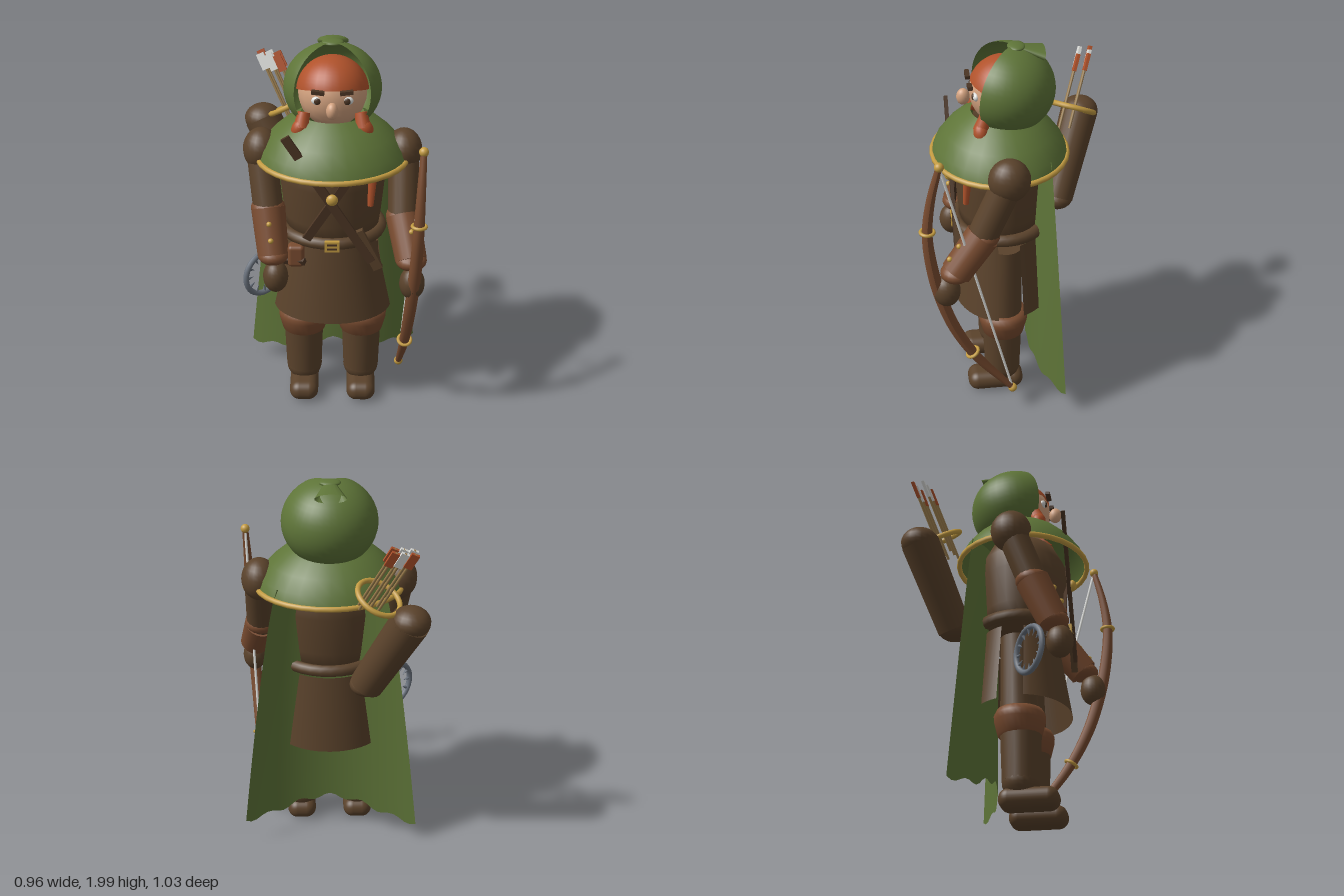
import * as THREE from 'three';
import { RoundedBoxGeometry } from 'three/addons/geometries/RoundedBoxGeometry.js';

const mat = (name, color, double) => {
  const m = new THREE.MeshStandardMaterial({ color });
  m.name = name;
  if (double) m.side = THREE.DoubleSide;
  return m;
};
const green = mat('green cloth', 0x5e7438, true);
const brown = mat('dark brown hide', 0x5a422b, true);
const leather = mat('leather', 0x7a4c30);
const strapMat = mat('dark strap', 0x4b3524);
const gold = mat('gold', 0xc49c42);
const ginger = mat('ginger hair', 0xb0522b, true);
const skin = mat('skin', 0xd3a27f);
const steel = mat('steel', 0x6b737e);
const white = mat('white', 0xdedfdc);
const wood = mat('pale wood', 0x9a7c4c);

const V = (a) => new THREE.Vector3(...a);

export function createModel() {
  const model = new THREE.Group();
  const add = (name, geo, m, pos = [0, 0, 0], rot = [0, 0, 0], scale = [1, 1, 1]) => {
    const mesh = new THREE.Mesh(geo, m);
    mesh.name = name;
    mesh.position.set(...pos);
    mesh.rotation.set(...rot);
    mesh.scale.set(...scale);
    model.add(mesh);
    return mesh;
  };
  const ball = (name, m, pos, r, rot) =>
    add(name, new THREE.SphereGeometry(1, 20, 14), m, pos, rot, r);
  // Turns a mesh so that its y axis runs from a to b
  const aim = (mesh, a, b) => {
    mesh.position.copy(V(a)).lerp(V(b), 0.5);
    mesh.quaternion.setFromUnitVectors(new THREE.Vector3(0, 1, 0), V(b).sub(V(a)).normalize());
    return mesh;
  };
  const len = (a, b) => V(a).distanceTo(V(b));
  const rod = (name, m, a, b, ra, rb = ra, sides = 18) =>
    aim(add(name, new THREE.CylinderGeometry(rb, ra, len(a, b), sides), m), a, b);
  const capsule = (name, m, a, b, r) =>
    aim(add(name, new THREE.CapsuleGeometry(r, len(a, b), 6, 18), m), a, b);
  const strip = (name, m, a, b, w, d) =>
    aim(add(name, new THREE.BoxGeometry(w, len(a, b), d), m), a, b);
  const lathe = (name, m, pts, z, sz) =>
    add(name, new THREE.LatheGeometry(pts.map((p) => new THREE.Vector2(...p)), 28), m, [0, 0, z], [0, 0, 0], [1, 1, sz]);
  const hoop = (name, m, R, r, pos, rot, scale) =>
    add(name, new THREE.TorusGeometry(R, r, 8, 32), m, pos, rot, scale);

  // Legs and boots
  for (const s of [-1, 1]) {
    const x = s * 0.155;
    rod('thigh', brown, [x, 0.48, 0.07], [x, 0.92, 0.06], 0.095, 0.085);
    rod('bootShaft', brown, [x, 0.15, 0.08], [x, 0.4, 0.08], 0.096, 0.105);
    ball('ankle', brown, [x, 0.15, 0.08], [0.096, 0.09, 0.096]);
    add('foot', new RoundedBoxGeometry(0.155, 0.108, 0.3, 6, 0.053), brown, [x, 0.06, 0.12]);
    lathe('bootCuff', leather, [[0.09, 0.38], [0.115, 0.39], [0.133, 0.46], [0.135, 0.49], [0.12, 0.52], [0.09, 0.52]], 0.075, 0.97).position.x = x;
  }

  // Torso, belt and coat skirts
  lathe('torso', brown, [[0, 0.99], [0.235, 0.99], [0.25, 1.1], [0.27, 1.3], [0.26, 1.4], [0.2, 1.5], [0, 1.55]], 0.07, 0.87);
  hoop('belt', brown, 0.25, 0.032, [0, 1.015, 0.065], [Math.PI / 2, 0, 0], [1, 0.92, 1]);
  const skirt = (name, rTop, rBottom, depth, start, length) =>
    add(name, new THREE.CylinderGeometry(rTop, rBottom, 0.415, 20, 1, true, start, length), brown, [0, 0.758, 0.08], [0, 0, 0], [1, 1, depth]);
  skirt('frontSkirt', 0.225, 0.312, 0.77, -1.42, 2.84);
  skirt('backSkirt', 0.25, 0.3, 0.92, 1.95, 2.38);
  add('buckle', new THREE.BoxGeometry(0.074, 0.058, 0.02), gold, [0, 1.015, 0.32]);
  for (const s of [-1, 1])
    add('buckleSlot', new THREE.BoxGeometry(0.05, 0.011, 0.006), strapMat, [0, 1.015 + s * 0.012, 0.329]);

  // Crossed straps, clasp, pouch and sheath
  strip('longStrap', strapMat, [-0.23, 1.615, 0.32], [0.2, 0.93, 0.32], 0.045, 0.018);
  strip('shortStrap', strapMat, [0.15, 1.48, 0.29], [-0.13, 1.05, 0.305], 0.045, 0.018);
  strip('sheath', brown, [0.13, 1.1, 0.31], [0.235, 0.885, 0.31], 0.05, 0.03);
  ball('clasp', gold, [0, 1.285, 0.335], [0.03, 0.03, 0.022]);
  add('pouch', new RoundedBoxGeometry(0.085, 0.12, 0.07, 3, 0.02), leather, [-0.185, 0.935, 0.26]);
  strip('pouchStrap', strapMat, [-0.26, 0.89, 0.24], [-0.14, 0.91, 0.29], 0.03, 0.03);
  rod('hairBraid', ginger, [0.192, 1.22, 0.265], [0.205, 1.44, 0.25], 0.015, 0.026, 8);

  // Long cape: a sheet whose side wings sweep backwards
  const capeGeo = new THREE.PlaneGeometry(2, 1, 32, 16);
  const p = capeGeo.attributes.position;
  for (let i = 0; i < p.count; i++) {
    const u = p.getX(i), t = 0.5 - p.getY(i);
    const w = 0.27 + 0.19 * Math.pow(t, 0.75);
    const hem = 0.16 + 0.04 * Math.cos(u * 3.6) + 0.015 * Math.cos(u * 17) + 0.02 * u;
    p.setXYZ(i, u * w, 1.47 + (hem - 1.47) * t, -0.075 - u * u * (0.08 + 0.07 * t));
  }
  capeGeo.computeVertexNormals();
  add('cape', capeGeo, green);

  // Shoulder mantle with a gold hem
  lathe('mantle', green, [[0.385, 1.41], [0.362, 1.47], [0.305, 1.54], [0.235, 1.6], [0.16, 1.645]], 0.07, 0.9);
  hoop('mantleTrim', gold, 0.382, 0.015, [0, 1.412, 0.07], [Math.PI / 2, 0, 0], [1, 0.9, 1]);

  // Head, hair and hood
  ball('head', skin, [0, 1.745, 0.05], [0.172, 0.172, 0.17]);
  add('hair', new THREE.SphereGeometry(0.182, 28, 14, 0, Math.PI * 2, 0, 1.5), ginger, [0, 1.748, 0.045], [-0.3, 0, 0]);
  add('hood', new THREE.SphereGeometry(1, 28, 18, Math.PI / 2 + 0.87, Math.PI * 2 - 1.74, 0, 2.4), green,
    [0, 1.765, 0.03], [-0.12, 0, 0], [0.246, 0.225, 0.242]);
  aim(add('hoodPeak', new THREE.CylinderGeometry(0.03, 0.08, 0.12, 14, 1, true), green, [0, 0, 0], [0, 0, 0], [1, 1, 0.35]),
    [0, 1.945, -0.14], [0, 1.978, -0.04]);
  ball('hoodPeakTip', green, [0, 1.982, -0.015], [0.055, 0.015, 0.045]);
  ball('nose', skin, [0, 1.725, 0.25], [0.03, 0.043, 0.034]);
  for (const s of [-1, 1]) {
    ball('eye', white, [s * 0.073, 1.757, 0.193], [0.03, 0.022, 0.018]);
    ball('iris', strapMat, [s * 0.073, 1.757, 0.207], [0.016, 0.017, 0.008]);
    add('eyebrow', new THREE.BoxGeometry(0.064, 0.018, 0.024), strapMat, [s * 0.07, 1.81, 0.222], [0, 0, s * 0.13]);
    rod('sideLock', ginger, [s * 0.14, 1.68, 0.155], [s * 0.153, 1.61, 0.18], 0.03, 0.04, 12);
    ball('sideLockEnd', ginger, [s * 0.163, 1.605, 0.18], [0.038, 0.052, 0.038], [0, 0, s * 0.45]);
  }

  // Arms
  const arm = (side, shoulder, elbow, wrist, hand, studX) => {
    ball(side + 'Shoulder', brown, shoulder, [0.093, 0.112, 0.106]);
    capsule(side + 'UpperArm', brown, shoulder, elbow, 0.078);
    rod(side + 'Bracer', leather, elbow, wrist, 0.088, 0.08);
    ball(side + 'Elbow', leather, elbow, [0.088, 0.06, 0.088]);
    ball(side + 'Cuff', leather, wrist, [0.08, 0.05, 0.08]);
    ball(side + 'Glove', brown, hand, [0.065, 0.087, 0.07]);
    for (const t of [0.35, 0.7]) {
      const c = V(elbow).lerp(V(wrist), t);
      ball(side + 'Stud', gold, [c.x + studX, c.y + 0.035, c.z + 0.073], [0.014, 0.014, 0.014]);
    }
  };
  arm('right', [-0.362, 1.44, 0.065], [-0.328, 1.16, 0.17], [-0.302, 0.94, 0.27], [-0.29, 0.83, 0.3], 0.0);
  arm('left', [0.362, 1.44, 0.065], [0.36, 1.13, 0.2], [0.4, 0.95, 0.34], [0.405, 0.845, 0.39], 0.025);

  // Toothed steel hoop at the right hand
  const trap = new THREE.Group();
  trap.name = 'toothedHoop';
  trap.position.set(-0.36, 0.765, 0.155);
  trap.rotation.y = 0.72;
  trap.add(hoop('hoopRim', steel, 0.118, 0.015));
  for (let i = 0; i < 12; i++) {
    const a = (i / 12) * Math.PI * 2;
    trap.add(add('hoopTooth', new THREE.ConeGeometry(0.012, 0.045, 6), steel,
      [Math.cos(a) * 0.092, Math.sin(a) * 0.092, 0], [0, 0, a + Math.PI / 2]));
  }
  model.add(trap);

  // Bow: a tube that thins towards its tips
  const curve = new THREE.CatmullRomCurve3([
    [0.44, 1.585, 0.41], [0.432, 1.4, 0.455], [0.425, 1.2, 0.478], [0.418, 0.98, 0.458], [0.408, 0.8, 0.42],
    [0.395, 0.6, 0.355], [0.382, 0.39, 0.245], [0.365, 0.14, 0.05]].map(V));
  const bowGeo = new THREE.TubeGeometry(curve, 40, 1, 10);
  const b = bowGeo.attributes.position;
  for (let i = 0; i < b.count; i++) {
    const t = Math.floor(i / 11) / 40, c = curve.getPointAt(t);
    const v = new THREE.Vector3().fromBufferAttribute(b, i).sub(c)
      .multiplyScalar(0.016 + 0.016 * Math.sin(Math.PI * t)).add(c);
    b.setXYZ(i, v.x, v.y, v.z);
  }
  bowGeo.computeVertexNormals();
  add('bow', bowGeo, leather);
  const ends = [curve.getPoint(0), curve.getPoint(1)].map((v) => v.toArray());
  ends.forEach((e) => ball('bowTip', gold, e, [0.024, 0.024, 0.024]));
  rod('bowString', white, ends[0], ends[1], 0.007, 0.007, 6);
  for (const t of [0.24, 0.775]) {
    const ring = hoop('bowRing', gold, 0.033, 0.009);
    ring.position.copy(curve.getPointAt(t));
    ring.quaternion.setFromUnitVectors(new THREE.Vector3(0, 0, 1), curve.getTangentAt(t));
  }

  // Quiver, its ring and arrows
  const qTop = [-0.38, 1.405, -0.41], qBottom = [-0.18, 0.99, -0.262];
  const axis = V(qTop).sub(V(qBottom)).normalize();
  rod('quiver', brown, qBottom, qTop, 0.088, 0.1);
  ball('quiverBase', brown, qBottom, [0.088, 0.06, 0.088]);
  ball('quiverTop', brown, qTop, [0.1, 0.08, 0.1]);
  hoop('quiverRing', gold, 0.115, 0.014, [-0.228, 1.505, -0.345])
    .quaternion.setFromUnitVectors(new THREE.Vector3(0, 0, 1), axis);
  [ginger, white, ginger, white, white, ginger].forEach((colour, i) => {
    const tip = V([-0.39 + (i % 3) * 0.045, 1.775, -0.46 + (i % 3) * 0.012 + Math.floor(i / 3) * 0.055]);
    const at = (d) => tip.clone().addScaledVector(axis, -d).toArray();
    rod('arrowShaft', wood, at(0.4), at(0), 0.007, 0.007, 6);
    strip('fletching', colour, at(0.09), at(0), 0.042, 0.015);
  });
  return model;
}
